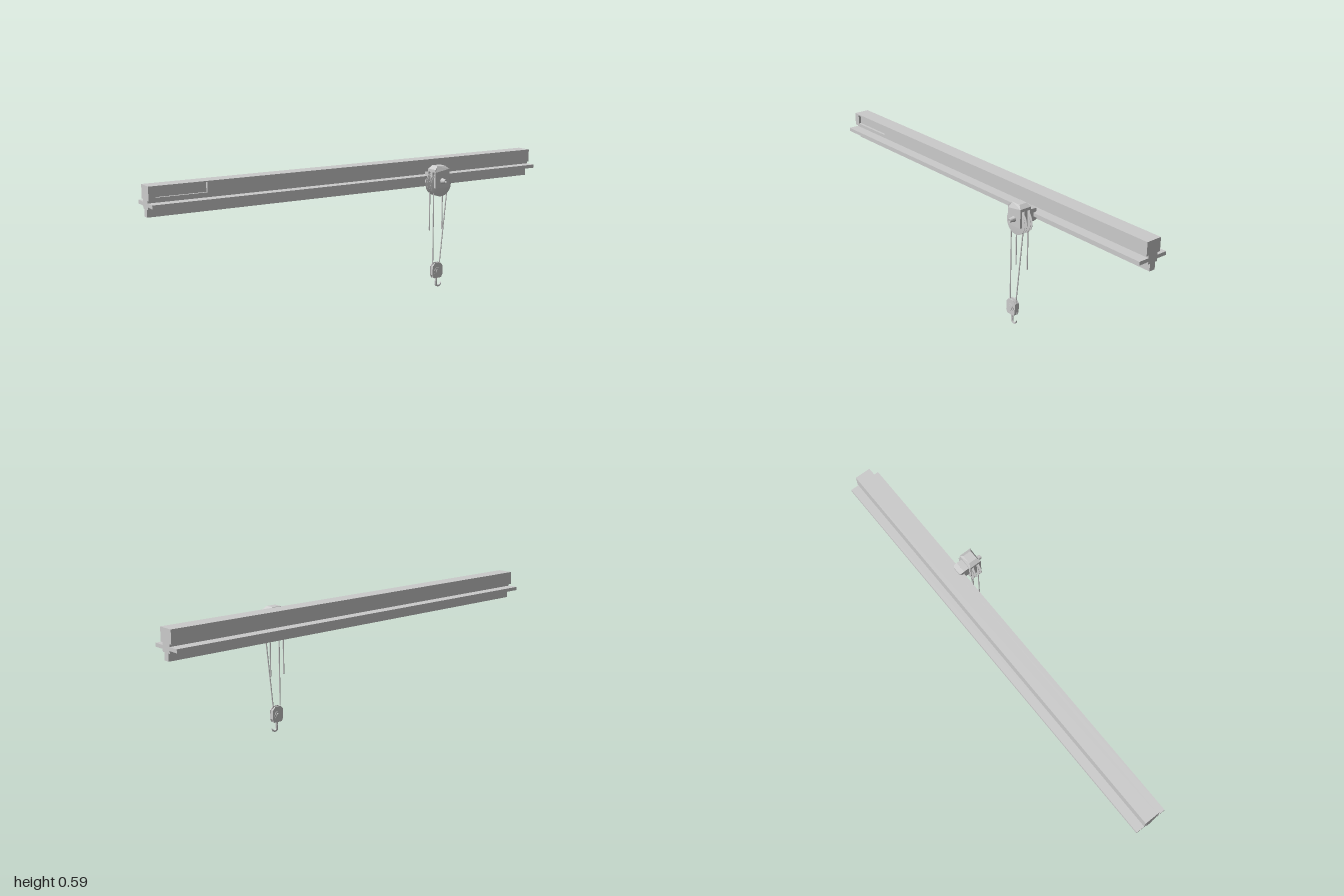
import * as THREE from 'three';
import { toCreasedNormals } from 'three/addons/utils/BufferGeometryUtils.js';

const grey = new THREE.MeshStandardMaterial({ color: 0xcccccc, side: THREE.DoubleSide });
const CX = 0.375; // trolley centre
const HX = 0.358; // hook block centre
const ROPE_Z = 0.088, BACK_Z = 0.058;

const shapeOf = (pts) => new THREE.Shape(pts.map(([a, b]) => new THREE.Vector2(a, b)));

// Extrude an (x, y) outline between two z values
function extrudeZ(shape, z0, z1) {
  return new THREE.ExtrudeGeometry(shape, { depth: z1 - z0, bevelEnabled: false, curveSegments: 10 }).translate(0, 0, z0);
}

// Extrude a (z, y) outline between two x values
function extrudeX(pts, x0, x1) {
  const shape = shapeOf(pts.map(([z, y]) => [-z, y]));
  return new THREE.ExtrudeGeometry(shape, { depth: x1 - x0, bevelEnabled: false }).rotateY(Math.PI / 2).translate(x0, 0, 0);
}

// Lathe a (radius, along) profile around the z axis
function latheZ(pts, segments = 32) {
  const g = new THREE.LatheGeometry(pts.map(([r, t]) => new THREE.Vector2(r, t)), segments).rotateX(Math.PI / 2);
  return toCreasedNormals(g, 0.6);
}

function bend(geometry, rule) {
  const p = geometry.attributes.position, v = new THREE.Vector3();
  for (let i = 0; i < p.count; i++) {
    rule(v.fromBufferAttribute(p, i));
    p.setXYZ(i, v.x, v.y, v.z);
  }
  geometry.computeVertexNormals();
  return geometry;
}

function add(parent, name, geometry, x = 0, y = 0, z = 0) {
  const mesh = new THREE.Mesh(geometry, grey);
  mesh.name = name;
  mesh.position.set(x, y, z);
  parent.add(mesh);
  return mesh;
}

function group(parent, name) {
  const g = new THREE.Group();
  g.name = name;
  parent.add(g);
  return g;
}

function rope(parent, name, a, b) {
  const path = new THREE.LineCurve3(new THREE.Vector3(...a), new THREE.Vector3(...b));
  add(parent, name, new THREE.TubeGeometry(path, 1, 0.0028, 8));
  for (const end of [a, b]) add(parent, name + 'End', new THREE.SphereGeometry(0.0028, 8, 4), ...end);
}

function buildRail(root) {
  const rail = group(root, 'rail');
  add(rail, 'beam', extrudeX([
    [-0.093, 0.588], [-0.03, 0.588], [-0.03, 0.517], [0.02, 0.517], [0.02, 0.501], [-0.03, 0.501],
    [-0.03, 0.49], [-0.041, 0.49], [-0.041, 0.457], [-0.07, 0.457], [-0.07, 0.49], [-0.08, 0.49],
    [-0.08, 0.501], [-0.13, 0.501], [-0.13, 0.517], [-0.08, 0.517], [-0.08, 0.528], [-0.093, 0.528],
  ], -1, 1));
  // Front wall with the long recessed window
  const wall = shapeOf([[-1, 0.528], [1, 0.528], [1, 0.588], [-1, 0.588]]);
  wall.holes.push(shapeOf([[-0.97, 0.54], [-0.97, 0.583], [-0.742, 0.583], [-0.742, 0.54]]));
  add(rail, 'frontWall', extrudeZ(wall, -0.03, -0.018));
}

function buildTrolley(root) {
  const trolley = group(root, 'trolley');
  // Housing: three cheeks below a chamfered cap
  for (const [z0, z1] of [[0.095, 0.105], [0.065, 0.081], [0.047, 0.051]]) {
    add(trolley, 'housingCheek', new THREE.BoxGeometry(0.078, 0.073, z1 - z0), CX, 0.5085, (z0 + z1) / 2);
  }
  const cap = extrudeZ(shapeOf([[-0.039, 0.544], [0.039, 0.544], [0.039, 0.557], [0.022, 0.572], [-0.022, 0.572], [-0.039, 0.557]]), 0.047, 0.105);
  bend(cap, (v) => { if (v.y > 0.57) v.z = v.z > 0.076 ? 0.095 : 0.055; });
  add(trolley, 'housingCap', cap, CX);

  // Grooved rope wheels
  for (const z of [ROPE_Z, BACK_Z]) {
    add(trolley, 'sheave', latheZ([
      [0, -0.0065], [0.057, -0.0065], [0.057, -0.005], [0.042, -0.002], [0.042, 0.002],
      [0.057, 0.005], [0.057, 0.0065], [0, 0.0065],
    ], 40), CX, 0.487, z);
  }

  // Tapered boss with a socket in its end
  add(trolley, 'frontBoss', latheZ([[0.0125, 0], [0.0085, 0.027], [0.005, 0.027], [0.005, 0.012], [0, 0.012]], 12), CX, 0.504, 0.105);

  // Rear clamp gripping the rail flange
  add(trolley, 'clampBody', new THREE.BoxGeometry(0.054, 0.058, 0.028), CX, 0.509, 0.034);
  const tongue = new THREE.Shape();
  tongue.moveTo(-0.027, -0.021);
  tongue.lineTo(0.027, -0.021);
  tongue.lineTo(0.027, -0.012);
  tongue.quadraticCurveTo(0.027, 0.002, 0.015, 0.002);
  tongue.lineTo(-0.015, 0.002);
  tongue.quadraticCurveTo(-0.027, 0.002, -0.027, -0.012);
  for (const side of [1, -1]) {
    const g = new THREE.ExtrudeGeometry(tongue, { depth: 0.02, bevelEnabled: false, curveSegments: 6 }).rotateX(-Math.PI / 2);
    bend(g, (v) => {
      const t = (0.021 - v.z) / 0.023;
      v.y += v.y > 0.01 ? -0.004 * t : 0.003 * t;
    });
    if (side < 0) g.rotateZ(Math.PI);
    add(trolley, side > 0 ? 'upperJaw' : 'lowerJaw', g, CX, 0.509 + side * 0.009, 0);
  }
}

function buildHookBlock(root) {
  const block = group(root, 'hookBlock');
  // Side cheeks, open at the top for the rope
  const cheek = shapeOf([[-0.028, 0.06], [-0.02, 0.045], [0.02, 0.045], [0.028, 0.06], [0.028, 0.102], [0.015, 0.117], [-0.015, 0.117], [-0.028, 0.102]]);
  for (const [z0, z1] of [[0.079, 0.0855], [0.0955, 0.102]]) {
    add(block, 'blockCheek', extrudeZ(cheek, z0, z1), HX);
  }
  add(block, 'blockCore', new THREE.BoxGeometry(0.054, 0.045, 0.01), HX, 0.0825, 0.0905);
  add(block, 'blockBase', new THREE.BoxGeometry(0.04, 0.015, 0.01), HX, 0.0525, 0.0905);
  add(block, 'axleBoss', latheZ([
    [0, -0.0175], [0.011, -0.0175], [0.011, -0.0145], [0.019, -0.0145],
    [0.019, 0.0145], [0.011, 0.0145], [0.011, 0.0175], [0, 0.0175],
  ], 24), HX, 0.077, 0.0905);

  // Shank and curved hook
  add(block, 'shank', new THREE.CylinderGeometry(0.006, 0.0045, 0.021, 12), HX, 0.0355, 0.0905);
  const hook = new THREE.Shape();
  hook.moveTo(-0.005, 0.028);
  hook.lineTo(0.004, 0.028);
  hook.lineTo(0.004, 0.014);
  hook.quadraticCurveTo(0.006, 0.006, 0.014, 0.007);
  hook.quadraticCurveTo(0.022, 0.009, 0.027, 0.02);
  hook.quadraticCurveTo(0.028, 0.002, 0.012, 0);
  hook.quadraticCurveTo(-0.004, 0, -0.005, 0.012);
  add(block, 'hook', extrudeZ(hook, 0.087, 0.094), HX);
}

export function createModel() {
  const root = new THREE.Group();
  root.name = 'overheadHoist';
  buildRail(root);
  buildTrolley(root);
  buildHookBlock(root);

  // Two ropes carry the hook block, two loose ends hang from the rear wheel
  const ropes = group(root, 'ropes');
  rope(ropes, 'leadRope', [0.339, 0.487, ROPE_Z], [0.339, 0.09, ROPE_Z]);
  rope(ropes, 'returnRope', [0.416, 0.475, ROPE_Z], [0.376, 0.1, ROPE_Z]);
  for (const x of [0.339, 0.411]) rope(ropes, 'looseRope', [x, 0.487, BACK_Z], [x, 0.268, BACK_Z]);
  return root;
}
